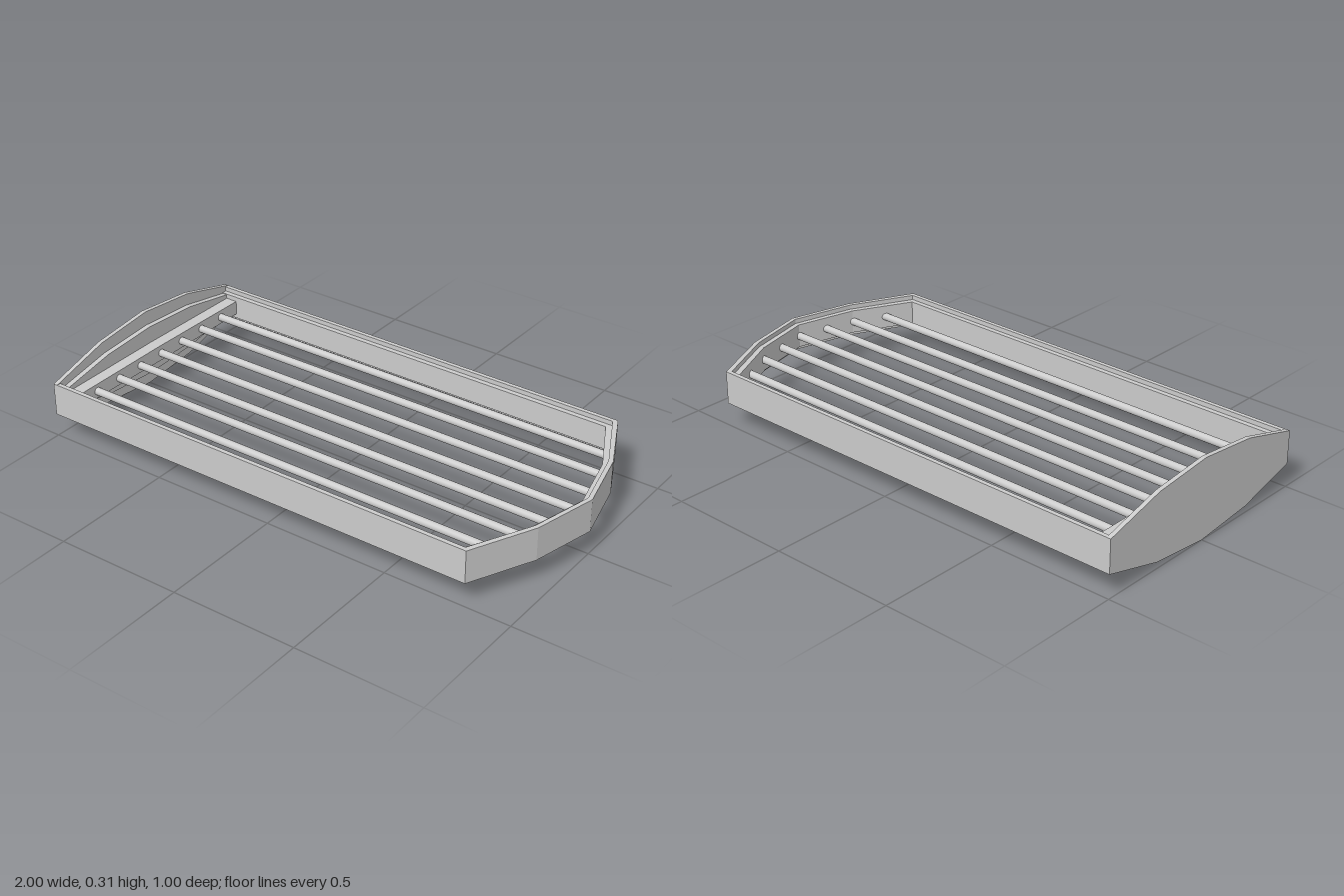
import * as THREE from 'three';

const MID = 0.158; // height of the symmetry plane
const material = new THREE.MeshStandardMaterial({ color: 0xcccccc, flatShading: true });
const barMaterial = new THREE.MeshStandardMaterial({ color: 0xcccccc });

const extrude = (points, depth) => new THREE.ExtrudeGeometry(
  new THREE.Shape(points.map(([x, y]) => new THREE.Vector2(x, y))),
  { depth, bevelEnabled: false });

// Plan outline of the open-ended rail, inset by d, from one side round the nose to the other
function outline(d, startX) {
  const half = [[startX, 0.5 - d], [0.82 - 0.8 * d, 0.5 - d], [0.94 - 0.94 * d, 0.25 - 0.34 * d]];
  return [...half, [1 - d, 0], ...half.map(([x, z]) => [x, -z]).reverse()];
}

// U-shaped rail between two insets, centred on the symmetry plane
function rail(name, outer, inner, halfHeight, startX) {
  const points = [...outline(outer, startX), ...outline(inner, startX).reverse()];
  const geometry = extrude(points, 2 * halfHeight);
  geometry.rotateX(-Math.PI / 2).translate(0, MID - halfHeight, 0);
  const mesh = new THREE.Mesh(geometry, material);
  mesh.name = name;
  return mesh;
}

// Arched end plate; profile lists [z, half height] from the outer edge to the middle
function endPlate(name, profile, x0, x1) {
  const mirrored = profile.slice(0, -1).map(([z, h]) => [-z, h]).reverse();
  const top = [...profile, ...mirrored];
  const bottom = top.map(([z, h]) => [z, -h]).reverse();
  const geometry = extrude([...top, ...bottom], x1 - x0);
  geometry.rotateY(Math.PI / 2).translate(x0, MID, 0);
  const mesh = new THREE.Mesh(geometry, material);
  mesh.name = name;
  return mesh;
}

export function createModel() {
  const group = new THREE.Group();
  group.name = 'slattedFrame';

  // Stepped rail: tall outer skin and a slightly lower inner lining
  group.add(rail('outerRail', 0, 0.017, 0.065, -0.985));
  group.add(rail('innerRail', 0.017, 0.037, 0.047, -0.985));

  // Stepped end made of three plates
  group.add(endPlate('outerEndPlate', [[0.5, 0.065], [0.25, 0.132], [0, 0.157]], -1, -0.983));
  group.add(endPlate('innerEndPlate', [[0.483, 0.04], [0.24, 0.085], [0, 0.1]], -0.983, -0.962));
  group.add(endPlate('barMount', [[0.463, 0.028], [0, 0.032]], -0.962, -0.913));

  // Parallel round bars running into the nose
  for (let i = -3; i <= 3; i++) {
    const z = i * 0.121;
    const a = Math.abs(z);
    const endX = a > 0.25 ? 0.93 - (a - 0.25) * 0.48 : 0.985 - a * 0.24;
    const start = -0.94;
    const geometry = new THREE.CylinderGeometry(0.015, 0.015, endX - 0.01 - start, 16);
    geometry.rotateZ(Math.PI / 2);
    const bar = new THREE.Mesh(geometry, barMaterial);
    bar.position.set((start + endX - 0.01) / 2, MID, z);
    bar.name = 'bar';
    group.add(bar);
  }
  return group;
}
